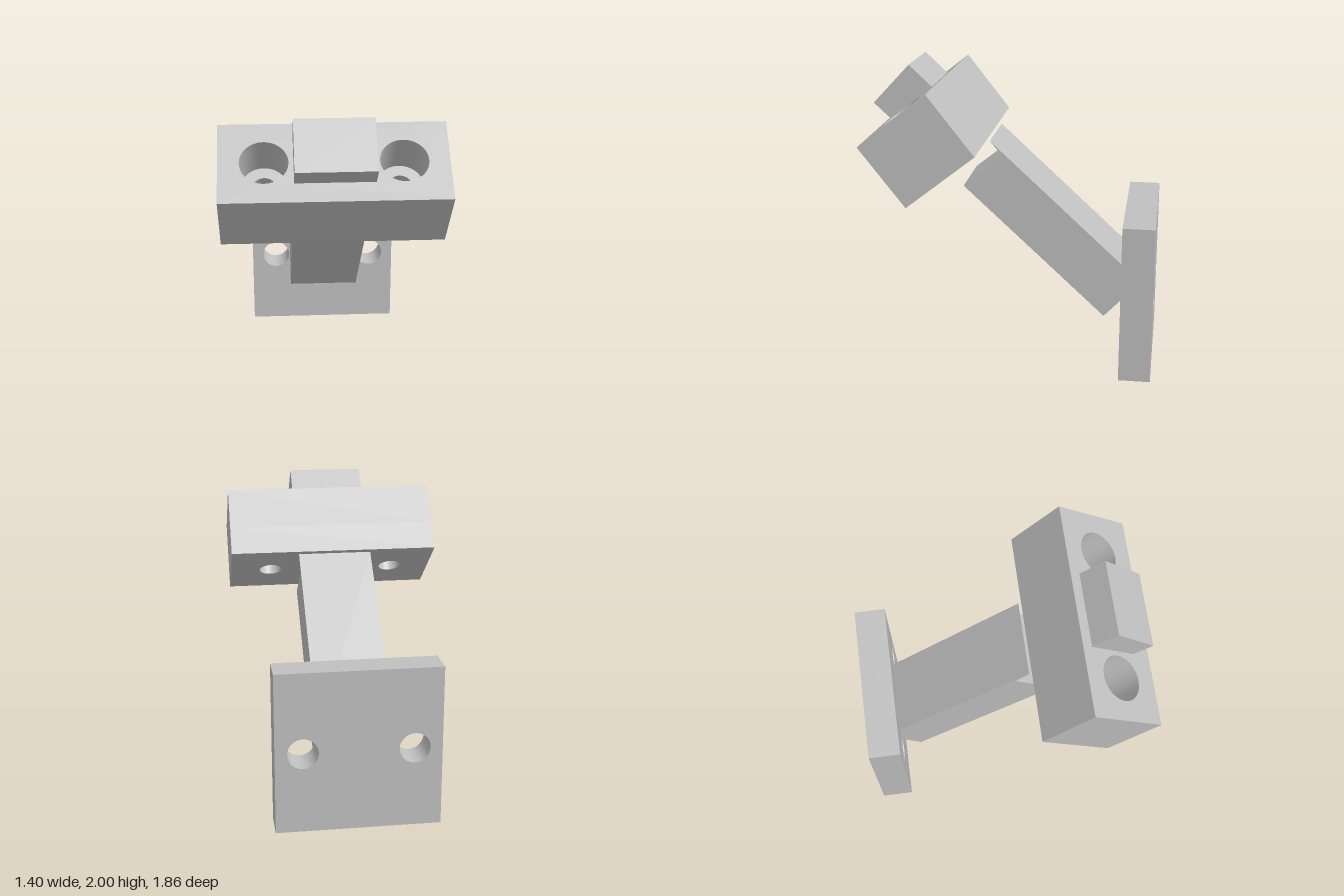
import * as THREE from 'three';
import { toCreasedNormals } from 'three/addons/utils/BufferGeometryUtils.js';

const grey = new THREE.MeshStandardMaterial({ color: 0xc0c0c0 });
grey.name = 'plain grey';

function polygon(points) {
  return new THREE.Shape(points.map(([x, y]) => new THREE.Vector2(x, y)));
}

function extrude(shape, depth) {
  const geometry = new THREE.ExtrudeGeometry(shape, { depth, bevelEnabled: false, curveSegments: 40 });
  return toCreasedNormals(geometry, 0.5);
}

// Rectangular slab with a mirrored pair of round holes, base at local z = 0
function drilledSlab(name, width, height, depth, holeX, holeRadius) {
  const w = width / 2, h = height / 2;
  const shape = polygon([[-w, -h], [w, -h], [w, h], [-w, h]]);
  for (const side of [-1, 1]) {
    const hole = new THREE.Path();
    hole.absarc(side * holeX, 0, holeRadius, 0, Math.PI * 2, true);
    shape.holes.push(hole);
  }
  const mesh = new THREE.Mesh(extrude(shape, depth), grey);
  mesh.name = name;
  return mesh;
}

// Side profile given as [z, y] points, extruded across x
function sideProfile(name, points, width) {
  const geometry = extrude(polygon(points), width);
  geometry.translate(0, 0, -width / 2);
  geometry.rotateY(-Math.PI / 2);
  const mesh = new THREE.Mesh(geometry, grey);
  mesh.name = name;
  return mesh;
}

export function createModel() {
  const model = new THREE.Group();
  model.name = 'angledBracket';

  // Upright mounting plate with two screw holes
  const plate = drilledSlab('mountingPlate', 1.05, 1.05, 0.208, 0.35, 0.098);
  plate.position.set(0, 0.525, -0.93);
  model.add(plate);

  // Sloping arm, notched below the head and ending in a thin spike
  model.add(sideProfile('arm', [
    [-0.84, 0.585], [-0.6, 0.33], [0.343, 1.205], [0.08, 1.412], [0.165, 1.514],
  ], 0.49));

  // End of the arm emerging through the head
  model.add(sideProfile('armTip', [
    [0.47, 1.795], [0.71, 1.54], [0.93, 1.745], [0.69, 2.0],
  ], 0.49));

  // Tilted head block with counterbored holes: narrow below, wide above
  const head = new THREE.Group();
  head.name = 'head';
  const lower = drilledSlab('headLowerLayer', 1.4, 0.561, 0.196, 0.423, 0.075);
  const upper = drilledSlab('headUpperLayer', 1.4, 0.561, 0.288, 0.423, 0.148);
  upper.position.z = 0.196;
  head.add(lower, upper);
  head.position.set(0, 1.353, 0.403);
  head.rotation.x = -0.906;
  model.add(head);

  return model;
}
